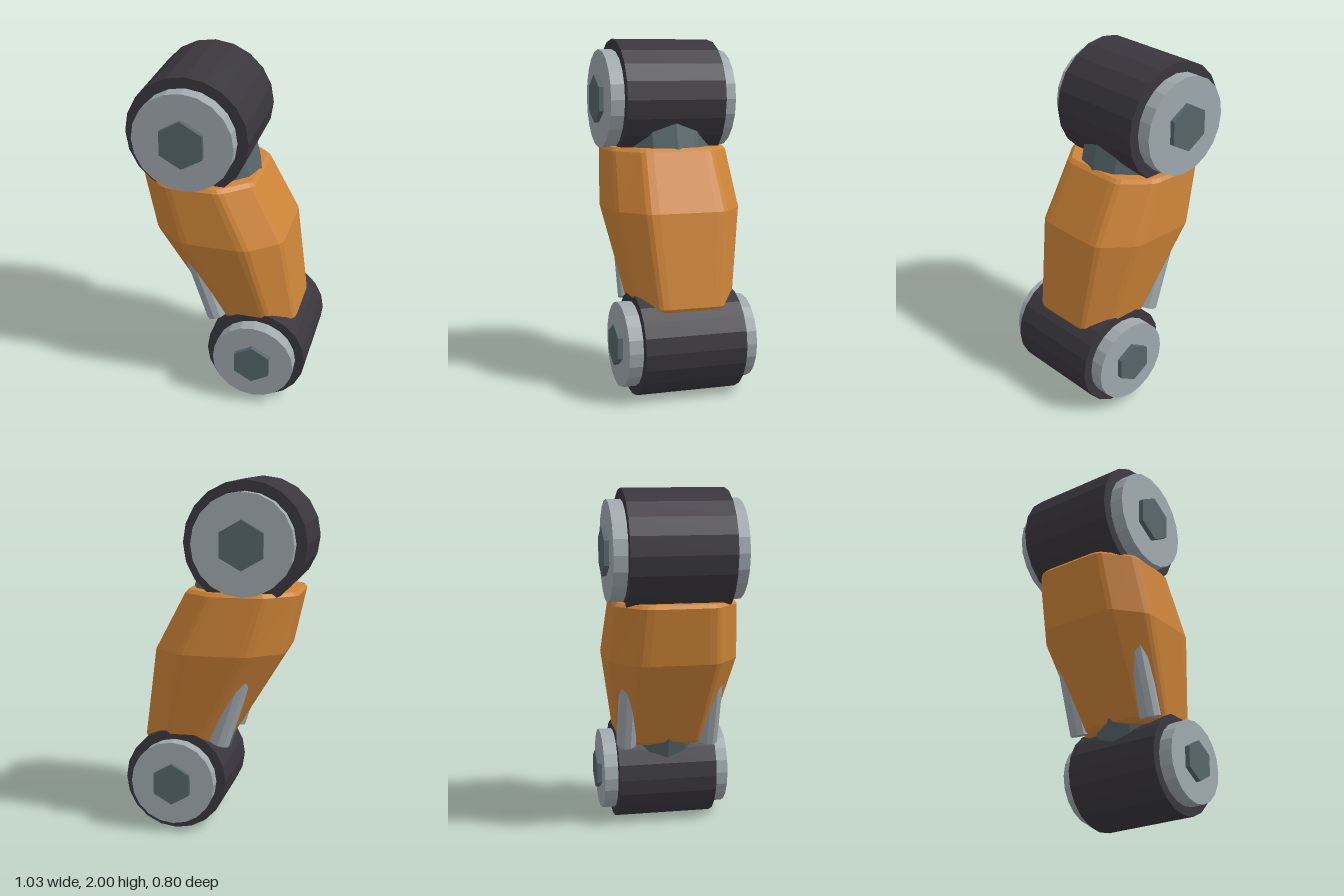
import * as THREE from 'three';

const mat = (name, color) => {
  const m = new THREE.MeshStandardMaterial({ color, flatShading: true });
  m.name = name;
  return m;
};

export function createModel() {
  const orange = mat('orange paint', 0xcf8538);
  const dark = mat('dark rubber', 0x39373d);
  const grey = mat('light metal', 0x9fa9ae);
  const steel = mat('blue steel', 0x56676b);

  const model = new THREE.Group();
  model.name = 'mechanicalLimb';
  const add = (name, geometry, material, parent = model) => {
    const mesh = new THREE.Mesh(geometry, material);
    mesh.name = name;
    parent.add(mesh);
    return mesh;
  };

  // Joints: a drum, two end caps and hexagonal bolts, all along z
  const joint = (name, x, y, drumR, capR, boltR) => {
    const g = new THREE.Group();
    g.name = name;
    g.position.set(x, y, 0);
    const roller = (part, r, length, sides, material, z = 0) => {
      const geo = new THREE.CylinderGeometry(r, r, length, sides).rotateX(Math.PI / 2);
      add(part, geo, material, g).position.z = z;
    };
    roller('drum', drumR, 0.584, 20, dark);
    for (const s of [1, -1]) {
      roller('endCap', capR, 0.1, 20, grey, s * 0.322);
      roller('hexBolt', boltR, 0.05, 6, steel, s * 0.375);
    }
    model.add(g);
  };
  joint('upperJoint', -0.175, 1.656, 0.344, 0.284, 0.138);
  joint('lowerJoint', 0.222, 0.295, 0.292, 0.239, 0.118);

  // Rod between two points
  const rod = (name, from, to, r0, r1, sides, material) => {
    const a = new THREE.Vector3(...from), b = new THREE.Vector3(...to);
    const mesh = add(name, new THREE.CylinderGeometry(r1, r0, a.distanceTo(b), sides), material);
    mesh.position.copy(a).add(b).multiplyScalar(0.5);
    mesh.rotation.z = Math.atan2(a.x - b.x, b.y - a.y);
  };
  rod('coreStrut', [0.222, 0.297, 0], [-0.185, 1.656, 0], 0.205, 0.285, 12, steel);
  for (const s of [1, -1]) {
    rod('piston', [-0.024, 0.51, s * 0.245], [-0.15, 0.89, s * 0.245], 0.059, 0.059, 10, grey);
  }

  // Armour shell: octagonal sections with softened corners
  const section = ({ y, x0, x1, z, cx, cz }) => {
    const corners = [
      [x1, -cz], [x1, cz], [x1 - cx, z], [x0 + cx, z],
      [x0, cz], [x0, -cz], [x0 + cx, -z], [x1 - cx, -z],
    ].map(([x, w]) => new THREE.Vector3(x, y, w));
    const n = corners.length;
    return corners.flatMap((c, i) => {
      const a = c.clone().lerp(corners[(i + n - 1) % n], 0.12);
      const b = c.clone().lerp(corners[(i + 1) % n], 0.12);
      return new THREE.QuadraticBezierCurve3(a, c, b).getPoints(2);
    });
  };
  const rows = [
    { y: 0.50, x0: -0.04, x1: 0.422, z: 0.272, cx: 0.13, cz: 0.165 },
    { y: 0.52, x0: -0.07, x1: 0.432, z: 0.285, cx: 0.14, cz: 0.175 },
    { y: 1.04, x0: -0.387, x1: 0.356, z: 0.372, cx: 0.185, cz: 0.22 },
    { y: 1.365, x0: -0.462, x1: 0.187, z: 0.347, cx: 0.17, cz: 0.2 },
    { y: 1.385, x0: -0.447, x1: 0.165, z: 0.332, cx: 0.165, cz: 0.19 },
  ].map(section);
  const n = rows[0].length;
  const positions = rows.flat().flatMap((p) => p.toArray());
  const index = [];
  for (let r = 0; r < rows.length - 1; r++) {
    for (let i = 0; i < n; i++) {
      const a = r * n + i, b = r * n + (i + 1) % n;
      index.push(a, a + n, b, b, a + n, b + n);
    }
  }
  // Flat lids at bottom and top
  const top = (rows.length - 1) * n;
  for (let i = 1; i < n - 1; i++) {
    index.push(0, i, i + 1, top, top + i + 1, top + i);
  }
  const shell = new THREE.BufferGeometry();
  shell.setAttribute('position', new THREE.Float32BufferAttribute(positions, 3));
  shell.setIndex(index);
  const flat = shell.toNonIndexed();
  flat.computeVertexNormals();
  add('armourShell', flat, orange);

  return model;
}
